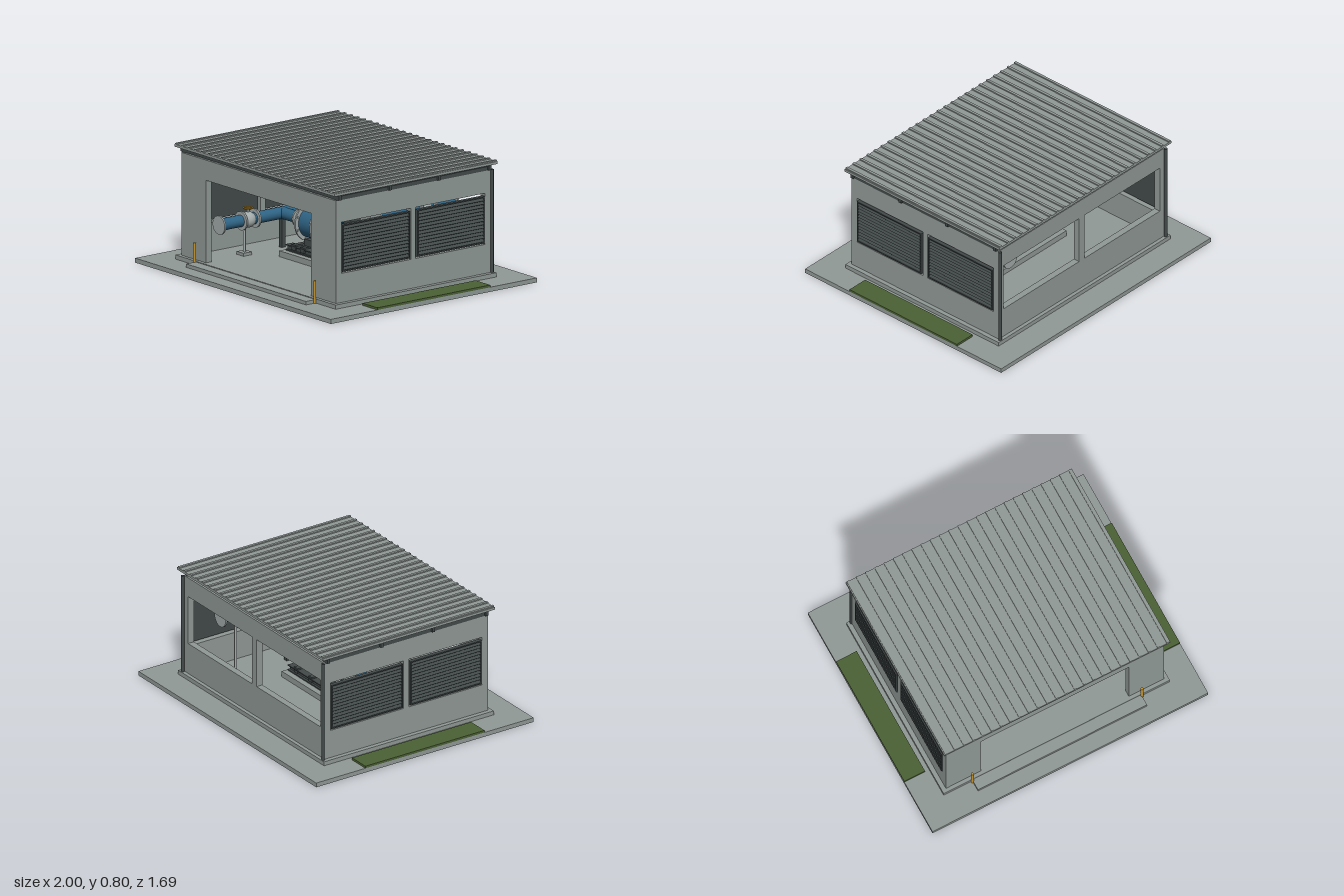
import * as THREE from 'three';

const mat = (name, color) => {
  const m = new THREE.MeshStandardMaterial({ color });
  m.name = name;
  return m;
};

export function createModel() {
  const concrete = mat('concrete grey', 0x919a97);
  const dark = mat('dark steel', 0x434a4a);
  const blue = mat('machine blue', 0x2f6485);
  const steel = mat('light steel', 0xa3abaa);
  const gold = mat('safety yellow', 0xc4932c);
  const green = mat('grass green', 0x4c6135);

  const model = new THREE.Group();
  model.name = 'pumpHouse';

  const add = (name, geo, m, x = 0, y = 0, z = 0) => {
    const mesh = new THREE.Mesh(geo, m);
    mesh.name = name;
    mesh.position.set(x, y, z);
    model.add(mesh);
    return mesh;
  };
  // Box given by its minimum and maximum on each axis
  const box = (name, m, x0, x1, y0, y1, z0, z1) =>
    add(name, new THREE.BoxGeometry(x1 - x0, y1 - y0, z1 - z0), m, (x0 + x1) / 2, (y0 + y1) / 2, (z0 + z1) / 2);
  // Cylinder along one axis, centred at a point
  const rod = (name, m, axis, r, len, x, y, z, sides = 28) => {
    const g = new THREE.CylinderGeometry(r, r, len, sides);
    if (axis === 'x') g.rotateZ(Math.PI / 2);
    if (axis === 'z') g.rotateX(Math.PI / 2);
    return add(name, g, m, x, y, z);
  };

  // Ground, grass strips, plinth and front step
  box('groundSlab', concrete, -1, 1, 0, 0.03, -0.845, 0.845);
  for (const s of [-1, 1]) {
    const strip = box('grassStrip', green, 0.85, 1, 0.03, 0.045, -0.463, 0.463);
    strip.position.x *= s;
  }
  box('plinth', concrete, -0.82, 0.82, 0.03, 0.058, -0.66, 0.66);
  box('frontStep', concrete, -0.613, 0.613, 0.03, 0.053, 0.66, 0.738);

  // Walls: an outline with rectangular openings, extruded
  const wall = (name, half, holes, thick) => {
    const s = new THREE.Shape();
    const rect = (p, x0, x1, y0, y1) =>
      p.moveTo(x0, y0).lineTo(x1, y0).lineTo(x1, y1).lineTo(x0, y1).closePath();
    rect(s, -half, half, 0.058, 0.737);
    for (const h of holes) {
      const p = new THREE.Path();
      rect(p, ...h);
      s.holes.push(p);
    }
    return add(name, new THREE.ExtrudeGeometry(s, { depth: thick, bevelEnabled: false }), concrete);
  };
  box('frontWallLeft', concrete, 0.537, 0.79, 0.058, 0.737, 0.59, 0.635);
  box('frontWallRight', concrete, -0.79, -0.537, 0.058, 0.737, 0.59, 0.635);
  box('frontLintel', concrete, -0.537, 0.537, 0.603, 0.737, 0.59, 0.635);
  wall('backWall', 0.79, [[-0.745, -0.025, 0.27, 0.603], [0.025, 0.745, 0.27, 0.603]], 0.045)
    .position.z = -0.635;
  for (const s of [-1, 1]) {
    const w = wall('sideWall', 0.59, [[-0.588, -0.02, 0.25, 0.588], [0.02, 0.588, 0.25, 0.588]], 0.045);
    w.rotation.y = Math.PI / 2;
    w.position.x = s > 0 ? 0.745 : -0.79;
  }

  // Louvre panels in the side walls
  const blades = 13;
  for (const s of [-1, 1]) for (const c of [-0.307, 0.307]) {
    const x = s * 0.782;
    const z0 = c - 0.277, z1 = c + 0.277;
    box('louvreBacking', dark, x - s * 0.012 - 0.004, x - s * 0.012 + 0.004, 0.262, 0.568, z0, z1);
    for (const y of [0.26, 0.562]) box('louvreFrame', dark, x - 0.014, x + 0.014, y, y + 0.008, z0, z1);
    for (const z of [z0, z1 - 0.008]) box('louvreFrame', dark, x - 0.014, x + 0.014, 0.26, 0.57, z, z + 0.008);
    for (let i = 0; i < blades; i++) {
      const b = add('louvreBlade', new THREE.BoxGeometry(0.004, 0.025, 0.54), dark,
        x + s * 0.005, 0.28 + i * 0.0225, c);
      b.rotation.z = s * 0.75;
    }
  }

  // Roof sheet with standing ribs, and the frame that carries it
  box('roofSheet', concrete, -0.82, 0.82, 0.775, 0.792, -0.668, 0.668);
  const ribs = 25;
  for (let i = 0; i < ribs; i++) {
    const x = -0.804 + (1.608 * i) / (ribs - 1);
    box('roofRib', concrete, x - 0.009, x + 0.009, 0.792, 0.8, -0.668, 0.668);
  }
  for (const z of [-0.615, -0.2, 0.2, 0.615])
    box('roofPurlin', dark, -0.81, 0.81, 0.74, 0.775, z - 0.01, z + 0.01);
  for (const x of [-0.775, 0.775])
    box('roofSideBeam', dark, x - 0.02, x + 0.02, 0.737, 0.763, -0.625, 0.625);

  // Downpipes and bollards
  for (const s of [-1, 1]) {
    rod('downpipe', dark, 'y', 0.011, 0.68, s * 0.79, 0.398, -0.646, 12);
    rod('bollard', gold, 'y', 0.009, 0.15, s * 0.615, 0.105, 0.667, 16);
  }

  // Machine pad and skid
  box('machinePad', concrete, -0.37, 0.365, 0.058, 0.097, -0.17, 0.17);
  for (const z of [-0.1, 0.1]) {
    box('skidRailFoot', dark, -0.355, 0.355, 0.097, 0.105, z - 0.03, z + 0.03);
    box('skidRail', dark, -0.35, 0.35, 0.105, 0.13, z - 0.015, z + 0.015);
    box('skidRailTop', dark, -0.355, 0.355, 0.13, 0.137, z - 0.03, z + 0.03);
  }
  for (const x of [-0.28, -0.19, -0.03, 0.11, 0.27])
    box('skidCrossMember', dark, x - 0.02, x + 0.02, 0.11, 0.147, -0.125, 0.125);
  box('controlBox', dark, 0.357, 0.408, 0.127, 0.188, 0.06, 0.13);

  // Pump casing with bolted end flanges
  const axisY = 0.285;
  rod('pumpCasing', blue, 'x', 0.103, 0.135, -0.188, axisY, 0, 40);
  box('pumpFoot', dark, -0.225, -0.15, 0.147, 0.19, -0.08, 0.08);
  for (const x of [-0.262, -0.113]) {
    rod('pumpFlange', steel, 'x', 0.128, 0.012, x, axisY, 0, 40);
    for (let i = 0; i < 8; i++) {
      const a = (i + 0.5) * Math.PI / 4;
      rod('flangeBolt', steel, 'x', 0.008, 0.026, x, axisY + Math.cos(a) * 0.114, Math.sin(a) * 0.114, 6);
    }
  }
  rod('pumpHub', blue, 'x', 0.05, 0.03, -0.1, axisY, 0);

  // Shaft and coupling guard
  rod('shaft', steel, 'x', 0.013, 0.19, -0.02, axisY, 0, 16);
  rod('couplingGuard', gold, 'x', 0.04, 0.07, -0.008, axisY, 0);
  rod('couplingHub', gold, 'x', 0.03, 0.1, -0.008, axisY, 0);

  // Motor with cooling fins, feet and terminal box
  rod('motorBody', blue, 'x', 0.07, 0.23, 0.185, axisY, 0, 32);
  for (const x of [0.065, 0.305]) rod('motorEndBell', blue, 'x', 0.078, 0.025, x, axisY, 0, 32);
  for (let i = 0; i < 28; i++) {
    const a = (i / 28) * Math.PI * 2;
    const f = add('motorFin', new THREE.BoxGeometry(0.215, 0.014, 0.005), blue,
      0.185, axisY + Math.cos(a) * 0.074, Math.sin(a) * 0.074);
    f.rotation.x = a;
  }
  for (const x of [0.108, 0.268]) for (const z of [-0.06, 0.06])
    box('motorFoot', blue, x - 0.03, x + 0.03, 0.147, 0.23, z - 0.025, z + 0.025);
  box('terminalBox', dark, 0.128, 0.202, 0.36, 0.4, -0.04, 0.04);

  // Pipework helpers
  const pipeR = 0.039, hx = 0.55, topY = 0.498;
  const flange = (axis, x, y, z, r = 0.058) => rod('pipeFlange', steel, axis, r, 0.012, x, y, z);

  // Suction branch, discharge riser, elbow and discharge run
  rod('suctionPipe', blue, 'x', pipeR, hx - 0.262, -(hx + 0.262) / 2, axisY, 0);
  flange('x', -0.375, axisY, 0);
  rod('dischargeRiser', blue, 'y', 0.035, 0.09, -0.19, 0.413, 0);
  flange('y', -0.19, 0.44, 0, 0.05);
  const bend = new THREE.QuadraticBezierCurve3(new THREE.Vector3(-0.19, 0.45, 0),
    new THREE.Vector3(-0.19, topY, 0), new THREE.Vector3(-0.14, topY, 0));
  add('dischargeElbow', new THREE.TubeGeometry(bend, 14, pipeR, 28), blue);
  rod('dischargePipe', blue, 'x', pipeR, hx + 0.14, (hx - 0.14) / 2, topY, 0);
  rod('pipeHanger', steel, 'y', 0.008, 0.06, 0.15, 0.43, 0, 12);
  box('pipeSaddle', dark, 0.122, 0.178, 0.453, 0.464, -0.03, 0.03);

  // Headers with valve, blind flange and stands; suction runs forward, discharge back
  for (const [x, y, s] of [[-hx, axisY, 1], [hx, topY, -1]]) {
    rod('headerPipe', blue, 'z', pipeR, 0.62, x, y, s * 0.2);
    flange('z', x, y, s * 0.515, 0.062);
    flange('z', x, y, -s * 0.11);
    for (const z of [0.225, 0.335]) flange('z', x, y, s * z, 0.062);
    add('valveBody', new THREE.SphereGeometry(0.052, 24, 16), steel, x, y, s * 0.28);
    rod('valveStem', steel, 'y', 0.008, 0.08, x, y + 0.04, s * 0.28, 12);
    const wheel = add('handwheel', new THREE.TorusGeometry(0.03, 0.005, 8, 28), gold, x, y + 0.077, s * 0.28);
    wheel.rotation.x = Math.PI / 2;
    for (const axis of ['x', 'z']) rod('handwheelSpoke', gold, axis, 0.004, 0.06, x, y + 0.077, s * 0.28, 8);
    // Stands
    box('teeStand', dark, x - 0.014, x + 0.014, 0.058, y - 0.03, -0.014, 0.014);
    const sz = s * (s > 0 ? 0.31 : 0.4);
    rod('pipeStand', steel, 'y', 0.009, y - 0.088, x, (y + 0.028) / 2, sz, 12);
    box('pipeStandBase', concrete, x - 0.035, x + 0.035, 0.058, 0.078, sz - 0.035, sz + 0.035);
  }
  return model;
}
